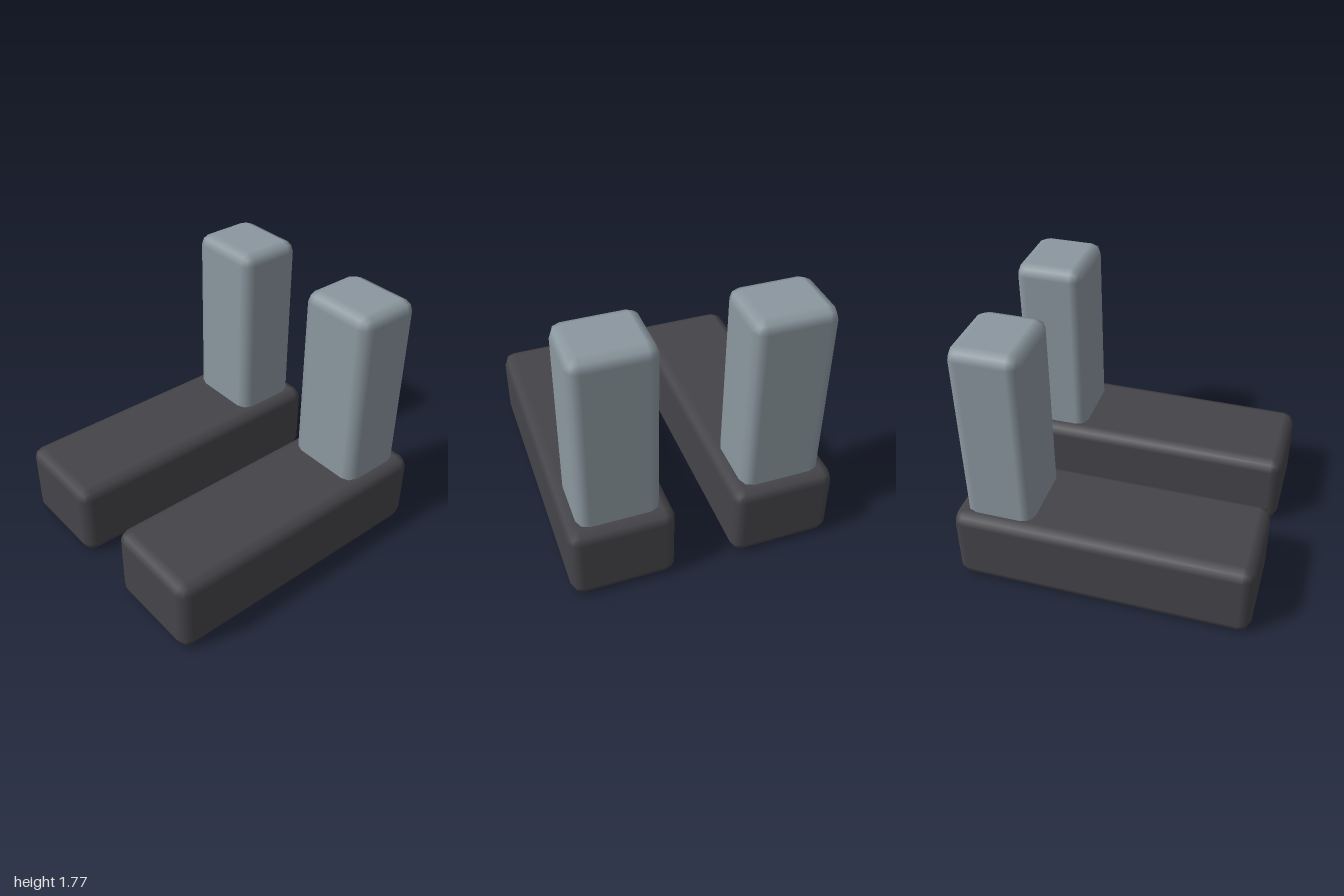
import * as THREE from 'three';
import { RoundedBoxGeometry } from 'three/addons/geometries/RoundedBoxGeometry.js';

const RADIUS = 0.077;

// Rounded box given by its lower and upper corners
function roundedBlock(name, material, min, max) {
  const size = max.map((v, i) => v - min[i]);
  const mesh = new THREE.Mesh(new RoundedBoxGeometry(...size, 1, RADIUS), material);
  mesh.position.set(...max.map((v, i) => (v + min[i]) / 2));
  mesh.name = name;
  return mesh;
}

export function createModel() {
  const model = new THREE.Group();
  model.name = 'legs';

  const shoeDark = new THREE.MeshStandardMaterial({ color: 0x454449 });
  shoeDark.name = 'shoe charcoal';
  const legGrey = new THREE.MeshStandardMaterial({ color: 0x8b979f });
  legGrey.name = 'leg blue grey';

  // One leg and shoe on each side
  for (const [side, x] of [['left', 0.539], ['right', -0.539]]) {
    const limb = new THREE.Group();
    limb.name = side + 'Limb';
    limb.position.x = x;
    limb.add(
      roundedBlock(side + 'Shoe', shoeDark, [-0.346, 0, -1], [0.346, 0.538, 1]),
      // The leg is sunk into the heel of the shoe
      roundedBlock(side + 'Leg', legGrey, [-0.269, 0.385, -0.923], [0.269, 1.77, -0.462]),
    );
    model.add(limb);
  }
  return model;
}
